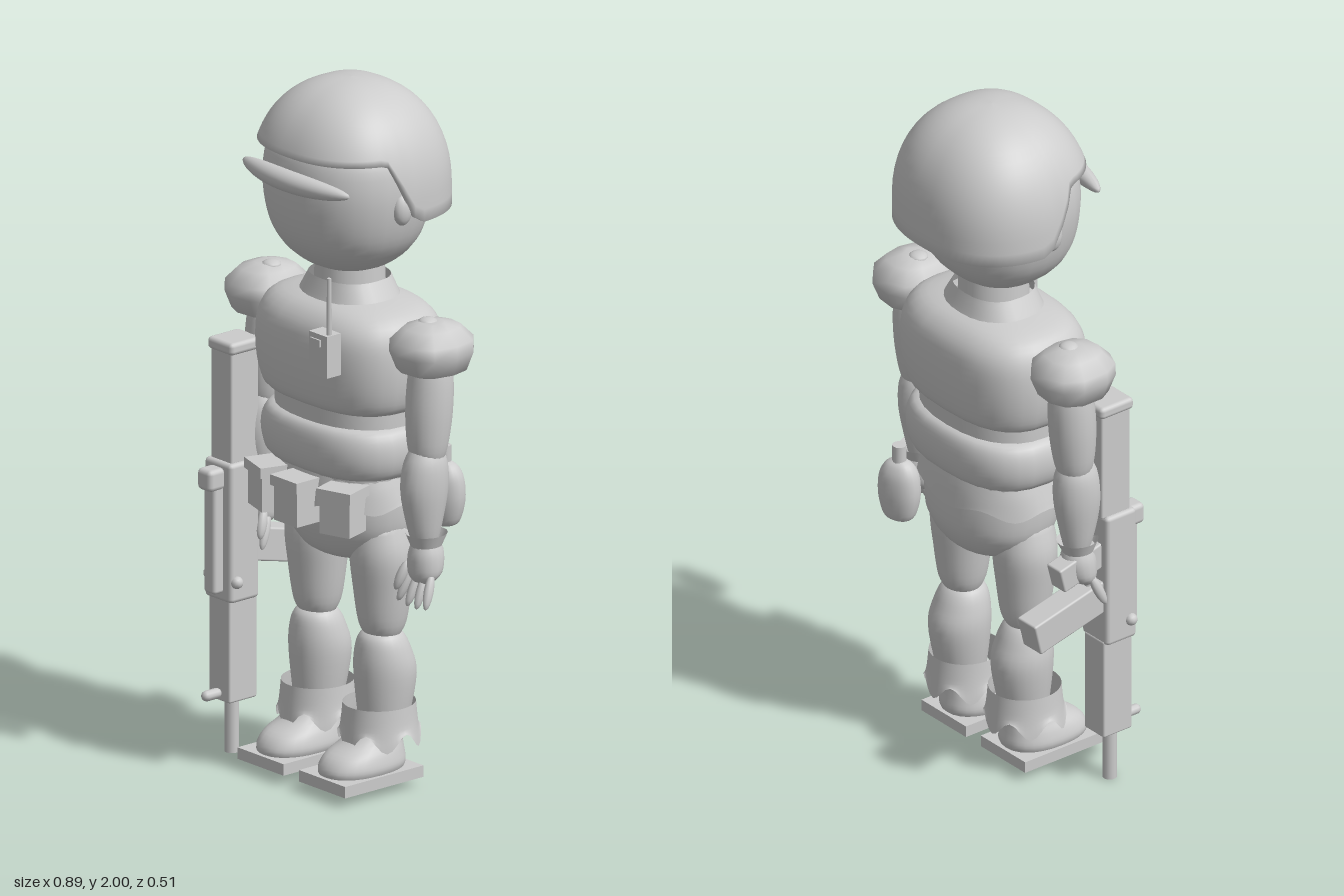
import * as THREE from 'three';
import { RoundedBoxGeometry } from 'three/addons/geometries/RoundedBoxGeometry.js';

const grey = new THREE.MeshStandardMaterial({ color: 0xcccccc, side: THREE.DoubleSide });
grey.name = 'grey';

function add(parent, name, geo, x = 0, y = 0, z = 0, rx = 0, ry = 0, rz = 0) {
  const m = new THREE.Mesh(geo, grey);
  m.name = name;
  m.position.set(x, y, z);
  m.rotation.set(rx, ry, rz);
  parent.add(m);
  return m;
}

// Closed rings of points (bottom to top) joined into a smooth skin
function skin(rings, capped = true) {
  const n = rings[0].length, pos = rings.flat(2), idx = [];
  for (let r = 0; r < rings.length - 1; r++) {
    for (let i = 0; i < n; i++) {
      const a = r * n + i, b = r * n + (i + 1) % n;
      idx.push(a, a + n, b, b, a + n, b + n);
    }
  }
  if (capped) {
    const last = (rings.length - 1) * n;
    for (let i = 1; i < n - 1; i++) idx.push(0, i, i + 1, last, last + i + 1, last + i);
  }
  const g = new THREE.BufferGeometry();
  g.setAttribute('position', new THREE.Float32BufferAttribute(pos, 3));
  g.setIndex(idx);
  g.computeVertexNormals();
  return g;
}

// Rounded-square ring in the xz plane
const point = (a, rx, rz, p) => {
  const f = v => Math.sign(v) * Math.abs(v) ** (2 / p);
  return [rx * f(Math.cos(a)), rz * f(Math.sin(a))];
};

const spline = (a, b, c, d, t) =>
  b + 0.5 * t * (c - a + t * (2 * a - 5 * b + 4 * c - d + t * (3 * (b - c) + d - a)));

// Loft through rows [y, rx, rz, z centre, x centre] with smooth interpolation
function loft(rows, { n = 28, p = 2, steps = 4, capped = true, jag = 0 } = {}) {
  const rings = [], at = i => rows[Math.min(Math.max(i, 0), rows.length - 1)];
  for (let r = 0; r < rows.length - 1; r++) {
    for (let s = 0; s < steps + (r === rows.length - 2 ? 1 : 0); s++) {
      const v = [0, 1, 2, 3, 4].map(k =>
        spline(...[-1, 0, 1, 2].map(o => at(r + o)[k] ?? 0), s / steps));
      rings.push(Array.from({ length: n }, (_, i) => {
        const a = i / n * Math.PI * 2;
        const [x, z] = point(a, Math.max(v[1], 0.001), Math.max(v[2], 0.001), p);
        const wave = r === 0 ? jag * (1 - s / steps) * Math.cos(a * 6) : 0;
        return [x + v[4], v[0] + wave, z + v[3]];
      }));
    }
  }
  return skin(rings, capped);
}

// Dome whose rim is high over the face and low over the ears and neck
function helmetGeometry() {
  const n = 72, rows = 16, rings = [];
  for (let r = -1; r <= rows; r++) {
    rings.push(Array.from({ length: n }, (_, i) => {
      const [x, z] = point(i / n * Math.PI * 2, 0.268, 0.252, 2.4);
      const rim = 1.642 + 0.178 * THREE.MathUtils.clamp((z + 0.01) / 0.095, 0, 1);
      const y = rim + (2 - rim) * Math.sin(Math.max(r, 0) / rows * Math.PI / 2);
      const s = Math.max((y - 1.7) / 0.3, 0);
      const k = Math.max(1 - s ** 2.2, 0) ** (1 / 2.2) * (r < 0 ? 0.94 : 1);
      return [x * k, y, z * k - 0.005];
    }));
  }
  return skin(rings, false);
}

function buildHead(g) {
  add(g, 'head', loft([[1.46, 0.03, 0.03, 0.01], [1.485, 0.125, 0.11, 0.01], [1.55, 0.198, 0.175, 0.01],
    [1.64, 0.232, 0.205, 0.01], [1.75, 0.24, 0.212, 0.008], [1.84, 0.21, 0.19, 0], [1.92, 0.08, 0.08, 0]], { p: 2.2 }));
  add(g, 'helmet', helmetGeometry());
  // curved goggles across the brow
  const goggles = new THREE.SphereGeometry(1, 32, 16).scale(0.22, 0.03, 0.032);
  const p = goggles.attributes.position;
  for (let i = 0; i < p.count; i++) p.setZ(i, p.getZ(i) - 0.7 * p.getX(i) ** 2);
  goggles.computeVertexNormals();
  add(g, 'goggles', goggles, 0, 1.75, 0.226);
  for (const s of [-1, 1]) {
    add(g, 'ear', new THREE.SphereGeometry(1, 14, 10).scale(0.022, 0.045, 0.03), s * 0.236, 1.68, 0.015);
  }
  add(g, 'neck', new THREE.CylinderGeometry(0.095, 0.1, 0.12, 24), 0, 1.44, 0);
}

function buildTorso(g) {
  add(g, 'collar', loft([[1.36, 0.16, 0.13], [1.385, 0.148, 0.118], [1.44, 0.115, 0.1]], { p: 2.4, capped: false }));
  add(g, 'chest', loft([[1.085, 0.17, 0.11], [1.1, 0.245, 0.17], [1.15, 0.272, 0.19], [1.24, 0.28, 0.197],
    [1.32, 0.268, 0.188], [1.37, 0.225, 0.15], [1.395, 0.12, 0.09]], { p: 2.7 }));
  add(g, 'waist', loft([[0.86, 0.21, 0.155], [1.0, 0.225, 0.165], [1.15, 0.225, 0.165]], { p: 2.4 }));
  add(g, 'bellyGuard', loft([[0.9, 0.18, 0.13], [0.912, 0.235, 0.175], [0.955, 0.257, 0.192], [1.01, 0.257, 0.192],
    [1.048, 0.235, 0.175], [1.06, 0.18, 0.13]], { p: 2.6 }));
  add(g, 'jacketHem', loft([[0.82, 0.238, 0.172], [0.87, 0.225, 0.165], [0.92, 0.208, 0.155]],
    { n: 48, p: 2.3, capped: false, jag: 0.012 }));
  add(g, 'hips', loft([[0.638, 0.07, 0.06, -0.01], [0.66, 0.14, 0.115, -0.01], [0.72, 0.195, 0.148, -0.01],
    [0.79, 0.21, 0.158, -0.005], [0.88, 0.21, 0.155]], { p: 2.2 }));
}

function buildGear(g) {
  // belt pouches with overhanging lids
  for (const [x, z, turn] of [[-0.145, 0.165, -0.3], [0, 0.19, 0], [0.155, 0.16, 0.3]]) {
    const pouch = new THREE.Group();
    pouch.name = 'pouch';
    pouch.position.set(x, 0.83, z);
    pouch.rotation.y = turn;
    add(pouch, 'pouchBody', new THREE.BoxGeometry(0.096, 0.12, 0.085), 0, -0.005);
    add(pouch, 'pouchLid', new THREE.BoxGeometry(0.11, 0.03, 0.1), 0, 0.05);
    g.add(pouch);
  }
  // chest radio
  add(g, 'radio', new THREE.BoxGeometry(0.075, 0.12, 0.05), 0.152, 1.293, 0.222);
  add(g, 'radioScreen', new THREE.BoxGeometry(0.04, 0.02, 0.006), 0.144, 1.328, 0.249);
  add(g, 'radioAntenna', new THREE.CylinderGeometry(0.006, 0.008, 0.17, 8), 0.177, 1.43, 0.228);
  // water bottle on the back of the hip
  const bottle = new THREE.Group();
  bottle.name = 'canteen';
  bottle.position.set(0.155, 0, -0.205);
  bottle.rotation.y = 0.35;
  add(bottle, 'canteenBody', loft([[0.705, 0.02, 0.015], [0.72, 0.045, 0.032], [0.78, 0.061, 0.043],
    [0.84, 0.058, 0.042], [0.875, 0.042, 0.03], [0.89, 0.02, 0.015]], { n: 20, p: 2.3 }));
  add(bottle, 'canteenCap', new THREE.CylinderGeometry(0.02, 0.02, 0.055, 12), 0, 0.908, 0);
  g.add(bottle);
}

function buildArm(side) {
  const g = new THREE.Group();
  g.name = side > 0 ? 'leftArm' : 'rightArm';
  const X = x => side * x;
  add(g, 'shoulderPad', loft([[1.235, 0.05, 0.055], [1.25, 0.09, 0.095], [1.3, 0.106, 0.115], [1.335, 0.104, 0.114],
    [1.37, 0.07, 0.08], [1.382, 0.03, 0.035]], { n: 11, p: 2.4, steps: 1 }), X(0.342));
  add(g, 'padStud', new THREE.SphereGeometry(0.028, 12, 8).scale(1, 0.5, 1), X(0.325), 1.377, 0);
  add(g, 'upperArm', loft([[0.97, 0.035, 0.035, 0.01], [1.02, 0.054, 0.055, 0.01], [1.12, 0.064, 0.066, 0.005],
    [1.22, 0.062, 0.064], [1.3, 0.05, 0.05]], { n: 20 }), X(0.335));
  add(g, 'forearm', loft([[0.745, 0.034, 0.034, 0.02], [0.8, 0.046, 0.05, 0.022], [0.9, 0.059, 0.07, 0.022],
    [0.98, 0.056, 0.064, 0.018], [1.03, 0.035, 0.04, 0.015]], { n: 20 }), X(0.335));
  add(g, 'gloveCuff', loft([[0.735, 0.038, 0.04, 0.02], [0.78, 0.055, 0.06, 0.018]], { n: 20, capped: false }), X(0.34));
  add(g, 'palm', loft([[0.645, 0.035, 0.022, 0.035], [0.67, 0.052, 0.044, 0.025], [0.72, 0.05, 0.05, 0.02],
    [0.76, 0.036, 0.038, 0.02]], { n: 18 }), X(0.34));
  // tapering fingers and thumb
  for (let i = 0; i < 4; i++) {
    const k = i - 1.5;
    add(g, 'finger', new THREE.SphereGeometry(1, 10, 8).scale(0.013, 0.053, 0.015),
      X(0.34 + k * 0.032), 0.62 + Math.abs(k) * 0.006, 0.052, -0.4, 0, side * k * 0.12);
  }
  add(g, 'thumb', new THREE.SphereGeometry(1, 10, 8).scale(0.014, 0.045, 0.016), X(0.29), 0.655, 0.065, -0.35, 0, side * -0.2);
  return g;
}

function buildLeg(side) {
  const g = new THREE.Group();
  g.name = side > 0 ? 'leftLeg' : 'rightLeg';
  const x = side * 0.135;
  add(g, 'thigh', loft([[0.425, 0.045, 0.04], [0.47, 0.066, 0.066], [0.57, 0.082, 0.08], [0.67, 0.09, 0.09], [0.75, 0.07, 0.08]], { n: 24 }), x);
  add(g, 'shin', loft([[0.13, 0.055, 0.055], [0.2, 0.07, 0.072, -0.005], [0.32, 0.085, 0.088, -0.01], [0.39, 0.078, 0.078, -0.002],
    [0.435, 0.06, 0.06, 0.003], [0.455, 0.03, 0.03]], { n: 24 }), x);
  add(g, 'bootCuff', loft([[0.145, 0.114, 0.114], [0.18, 0.104, 0.108], [0.24, 0.098, 0.102]],
    { n: 48, capped: false, jag: 0.024 }), side * 0.128, 0, 0.005);
  add(g, 'shoe', loft([[0.05, 0.08, 0.125, 0.07], [0.075, 0.09, 0.132, 0.068], [0.11, 0.082, 0.118, 0.058],
    [0.145, 0.066, 0.085, 0.028], [0.2, 0.055, 0.06, 0]], { n: 28, p: 2.3 }), side * 0.128);
  // sole with a sunken middle
  const rect = (w, h) => [[-w, -h], [w, -h], [w, h], [-w, h]].map(c => new THREE.Vector2(...c));
  const frame = new THREE.Shape(rect(0.096, 0.141));
  frame.holes.push(new THREE.Path(rect(0.06, 0.1)));
  add(g, 'soleRim', new THREE.ExtrudeGeometry(frame, { depth: 0.033, bevelEnabled: false }), side * 0.128, 0.06, 0.07, Math.PI / 2);
  add(g, 'soleMiddle', new THREE.BoxGeometry(0.122, 0.018, 0.202), side * 0.128, 0.048, 0.07);
  return g;
}

// Rifle hanging muzzle-down beside the right arm
function buildRifle() {
  const g = new THREE.Group();
  g.name = 'rifle';
  g.position.x = -0.345;
  const box = (name, w, h, d, y, z, r = 0.01, rx = 0) =>
    add(g, name, new RoundedBoxGeometry(w, h, d, 2, r), 0, y, z, rx);
  box('stock', 0.086, 0.34, 0.1, 1.01, 0.115, 0.006);
  box('buttPlate', 0.104, 0.035, 0.115, 1.173, 0.115, 0.012);
  box('receiver', 0.112, 0.4, 0.105, 0.645, 0.126, 0.012);
  box('topRail', 0.046, 0.35, 0.05, 0.645, 0.185, 0.01);
  box('rearSight', 0.058, 0.062, 0.06, 0.8, 0.2, 0.014);
  box('barrelShroud', 0.086, 0.3, 0.1, 0.305, 0.122, 0.006);
  box('pistolGrip', 0.06, 0.075, 0.17, 0.705, 0.02, 0.006, -0.25);
  box('magazine', 0.078, 0.095, 0.28, 0.57, -0.02, 0.006, -0.24);
  add(g, 'muzzle', new THREE.CylinderGeometry(0.02, 0.02, 0.17, 14), 0, 0.085, 0.127);
  add(g, 'frontSight', new THREE.CapsuleGeometry(0.015, 0.035, 4, 10), 0, 0.178, 0.2, Math.PI / 2);
  add(g, 'bolt', new THREE.CapsuleGeometry(0.018, 0.112, 4, 12), 0, 0.505, 0.157, 0, 0, Math.PI / 2);
  return g;
}

export function createModel() {
  const model = new THREE.Group();
  model.name = 'soldierFigure';
  buildHead(model);
  buildTorso(model);
  buildGear(model);
  for (const side of [1, -1]) model.add(buildArm(side), buildLeg(side));
  model.add(buildRifle());
  return model;
}
